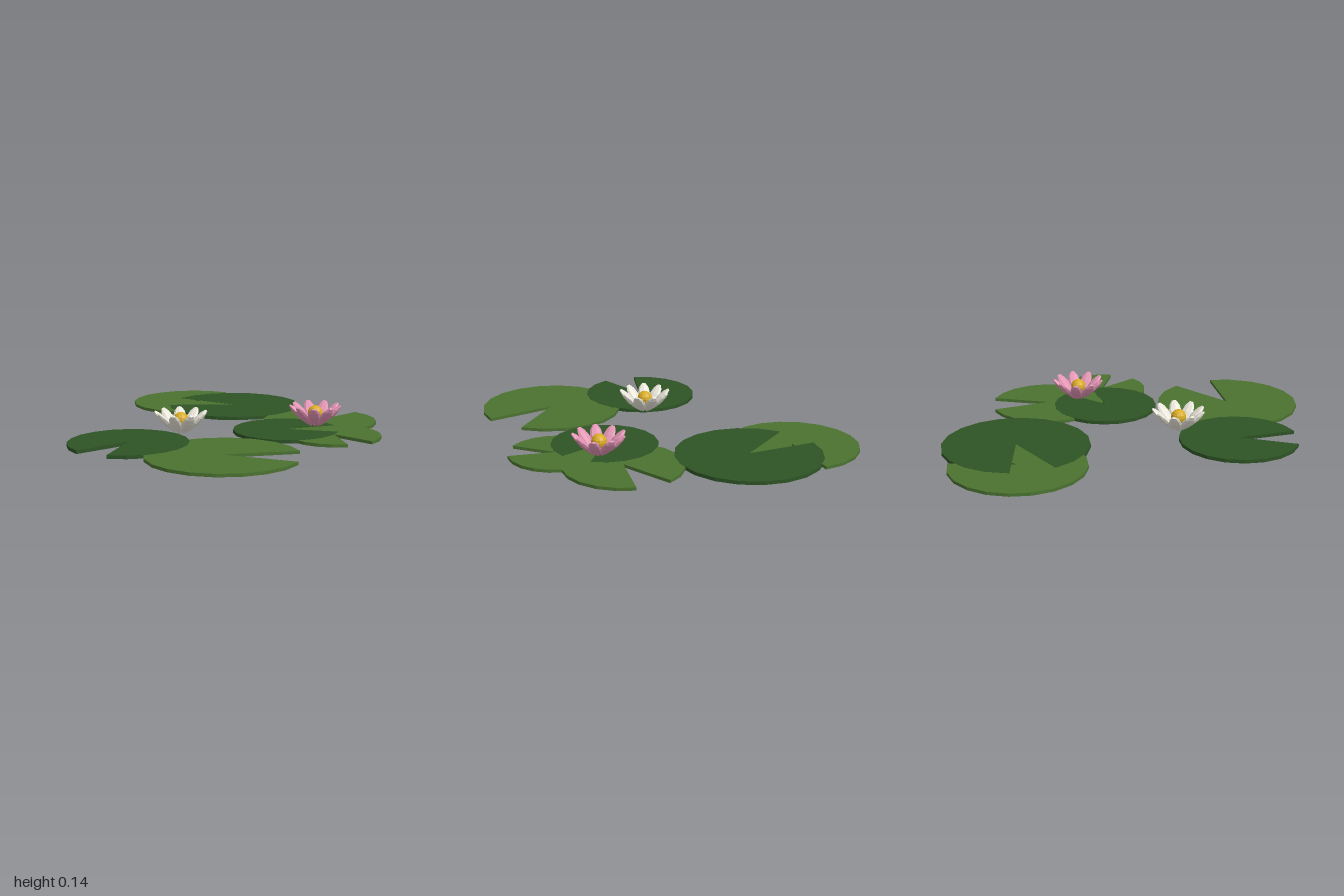
import * as THREE from 'three';

const mat = (name, color) => {
  const m = new THREE.MeshStandardMaterial({ color });
  m.name = name;
  m.flatShading = true;
  return m;
};

const rad = THREE.MathUtils.degToRad;
const PAD_TOP = 0.018;
const NOTCH = 35; // notch opening in degrees

// Flat round leaf with a wedge cut out; angle is where the notch starts, seen from above
function padGeometry(radius, angle, bottom, top) {
  const sides = 18;
  const shape = new THREE.Shape();
  shape.moveTo(0, 0);
  for (let i = 0; i <= sides; i++) {
    const a = rad(angle + NOTCH + (360 - NOTCH) * i / sides);
    shape.lineTo(radius * Math.cos(a), radius * Math.sin(a));
  }
  shape.closePath();
  const g = new THREE.ExtrudeGeometry(shape, { depth: top - bottom, bevelEnabled: false });
  return g.rotateX(-Math.PI / 2).translate(0, bottom, 0);
}

// Flattened faceted petal leaning outwards along +z
function petalGeometry() {
  const profile = [[0, -1], [0.42, -0.72], [0.8, -0.25], [1, 0.2], [0.8, 0.66], [0.36, 0.98], [0, 1]]
    .map(([x, y]) => new THREE.Vector2(x, y));
  return new THREE.LatheGeometry(profile, 8)
    .scale(0.034, 0.08, 0.016)
    .rotateX(rad(45))
    .translate(0, 0.076, 0.08);
}

function flower(name, petalMat, centreMat, x, z, turn) {
  const group = new THREE.Group();
  group.name = name;
  const geo = petalGeometry();
  const count = 9;
  for (let i = 0; i < count; i++) {
    const petal = new THREE.Mesh(geo, petalMat);
    petal.name = 'petal';
    petal.rotation.y = rad(turn + 90 + 360 * i / count);
    group.add(petal);
  }
  const centre = new THREE.Mesh(new THREE.SphereGeometry(0.04, 12, 8), centreMat);
  centre.name = 'flowerCentre';
  centre.position.y = 0.09;
  group.add(centre);
  group.position.set(x, 0, z);
  return group;
}

export function createModel() {
  const model = new THREE.Group();
  model.name = 'waterLilies';
  const light = mat('lightLeafGreen', 0x4a7230);
  const dark = mat('darkLeafGreen', 0x2e5325);
  const pink = mat('petalPink', 0xe093b2);
  const white = mat('petalWhite', 0xece8dc);
  const yellow = mat('centreYellow', 0xd9ac22);

  // Leaves: material, x, z, radius, notch start angle
  const pads = [
    [light, -0.46, -0.657, 0.344, 38.5],
    [dark, -0.19, -0.622, 0.378, 166],
    [light, 0.394, -0.347, 0.306, 64],
    [light, 0.557, -0.002, 0.244, -60],
    [dark, 0.286, -0.048, 0.278, 4],
    [dark, -0.378, 0.5, 0.308, -121.5],
    [light, 0.162, 0.616, 0.382, -4],
  ];
  for (const [m, x, z, r, angle] of pads) {
    // Light leaves are a hair thinner so overlapping faces stay clean
    const inset = m === light ? 0.001 : 0;
    const pad = new THREE.Mesh(padGeometry(r, angle, inset, PAD_TOP - inset), m);
    pad.name = m === light ? 'lightLilyPad' : 'darkLilyPad';
    pad.position.set(x, 0, z);
    model.add(pad);
  }

  model.add(flower('whiteFlower', white, yellow, -0.198, 0.23, -6));
  model.add(flower('pinkFlower', pink, yellow, 0.412, -0.172, 2));
  return model;
}
